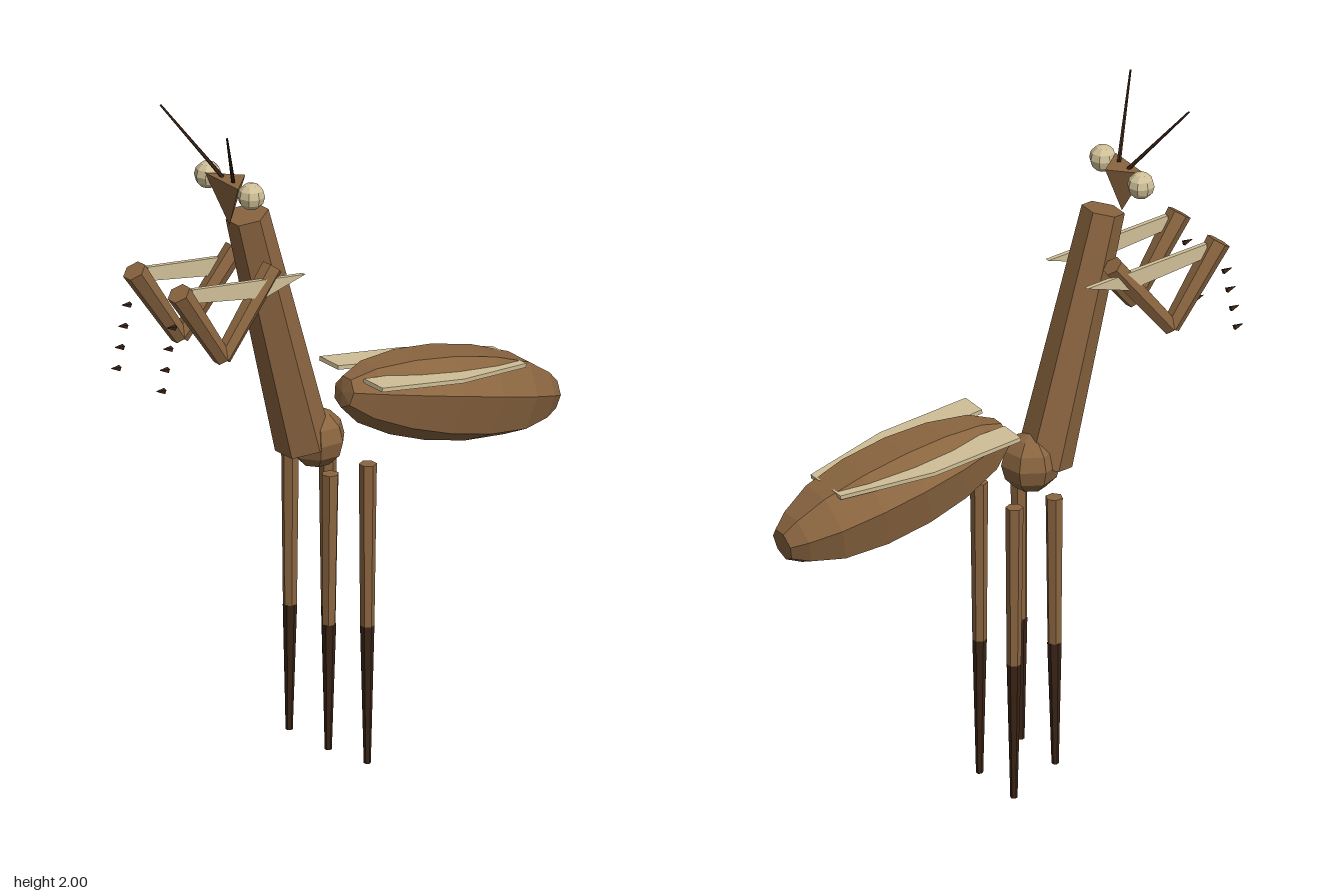
import * as THREE from 'three';

const mat = (name, color, extra = {}) => {
  const m = new THREE.MeshStandardMaterial({ color, flatShading: true, ...extra });
  m.name = name;
  return m;
};
const V = (x, y, z) => new THREE.Vector3(x, y, z);
const UP = V(0, 1, 0);

export function createModel() {
  const model = new THREE.Group();
  model.name = 'mantis';
  const brown = mat('brown shell', 0x8a6540);
  const dark = mat('dark limb', 0x3a2416);
  const beige = mat('pale beige', 0xd0c098);

  const add = (name, geometry, material, parent = model) => {
    const mesh = new THREE.Mesh(geometry, material);
    mesh.name = name;
    parent.add(mesh);
    return mesh;
  };
  // Tapered limb running from point a (radius ra) to point b (radius rb)
  const limb = (name, a, b, ra, rb, material, sides = 6) => {
    const d = b.clone().sub(a);
    const mesh = add(name, new THREE.CylinderGeometry(rb, ra, d.length(), sides, 1, false, Math.PI / 6), material);
    mesh.position.copy(a).addScaledVector(d, 0.5);
    mesh.quaternion.setFromUnitVectors(UP, d.normalize());
    return mesh;
  };

  // Abdomen: faceted spindle tilted down towards the back
  const back = V(0, 0.908, -0.705), front = V(0, 1.08, 0.01);
  const axis = front.clone().sub(back);
  const profile = [
    [0, 0], [0.048, 0.005], [0.08, 0.05], [0.118, 0.14], [0.137, 0.27],
    [0.137, 0.41], [0.121, 0.54], [0.088, 0.66], [0.045, 0.728], [0, 0.735],
  ].map(([r, y]) => new THREE.Vector2(r, y));
  const abdomen = add('abdomen', new THREE.LatheGeometry(profile, 7), brown);
  abdomen.position.copy(back);
  abdomen.quaternion.setFromUnitVectors(UP, axis.normalize());

  // Thorax joint and long raised neck
  const joint = add('thoraxJoint', new THREE.SphereGeometry(0.085, 7, 6), brown);
  joint.position.set(0, 0.967, 0.098);
  limb('neck', V(0, 0.957, 0.142), V(0, 1.683, 0.333), 0.08, 0.061, brown);

  // Triangular head, point down
  const head = add('head', new THREE.ConeGeometry(0.09, 0.137, 3), brown);
  head.geometry.rotateX(Math.PI).rotateY(Math.PI);
  head.geometry.rotateY(Math.PI);
  head.geometry.scale(1, 1, 0.6);
  // keep the wide edge to the front
  head.geometry.computeBoundingBox();
  const box = head.geometry.boundingBox;
  if (box.max.z > -box.min.z) head.geometry.rotateY(Math.PI);
  head.position.set(0, 1.733, 0.393);

  // Outline of a thin foreleg blade in (z, y)
  const bladeShape = new THREE.Shape([
    [0.60, 1.556], [0.60, 1.515], [0.35, 1.475], [0.215, 1.513],
  ].map(([z, y]) => new THREE.Vector2(z, y)));

  for (const s of [1, -1]) {
    const side = s > 0 ? 'left' : 'right';

    const eye = add(side + 'Eye', new THREE.SphereGeometry(0.039, 8, 6), beige);
    eye.position.set(s * 0.102, 1.783, 0.393);
    limb(side + 'Antenna', V(s * 0.025, 1.8, 0.398), V(s * 0.157, 2, 0.515), 0.006, 0.003, dark, 5);

    // Wing cover: thin plate sloping backwards
    const outline = new THREE.Shape([
      [0.06, 0.02], [0.148, 0.02], [0.148, 0.3], [0.08, 0.565], [0.035, 0.565],
    ].map(([x, y]) => new THREE.Vector2(s * x, y)));
    const wingGeo = new THREE.ExtrudeGeometry(outline, { depth: 0.012, bevelEnabled: false });
    wingGeo.rotateX(-Math.PI / 2);
    const wing = add(side + 'Wing', wingGeo, beige);
    wing.position.set(0, 1.122, 0);
    wing.rotation.x = -0.135;

    // Folded foreleg with blade and spines
    const elbow = V(s * 0.1, 1.325, 0.49);
    limb(side + 'ForelegUpper', V(s * 0.087, 1.55, 0.31), elbow, 0.031, 0.026, brown);
    limb(side + 'ForelegLower', elbow, V(s * 0.105, 1.553, 0.642), 0.026, 0.035, brown);
    const bladeGeo = new THREE.ExtrudeGeometry(bladeShape, { depth: 0.014, bevelEnabled: false });
    bladeGeo.rotateY(-Math.PI / 2);
    add(side + 'ForelegBlade', bladeGeo, beige).position.x = s * 0.105 + 0.007;
    for (let i = 0; i < 4; i++) {
      const y = 1.455 - i * 0.06, z = 0.655 + i * 0.012;
      limb(side + 'Spine', V(s * 0.106, y, z), V(s * 0.106, y + 0.005, z + 0.028), 0.009, 0.001, dark, 4);
    }

    // Walking legs: [name, z at top, z at foot, knee height, foot height]
    for (const [name, z0, z1, knee, foot] of [
      ['FrontLeg', 0.118, 0.123, 0.447, 0.075],
      ['BackLeg', -0.01, -0.01, 0.412, 0.003],
    ]) {
      const k = V(s * 0.092, knee, (z0 + z1) / 2);
      limb(side + name + 'Upper', V(s * 0.095, 0.893, z0), k, 0.025, 0.02, brown);
      limb(side + name + 'Lower', k, V(s * 0.092, foot, z1), 0.02, 0.01, dark);
    }
  }

  return model;
}
